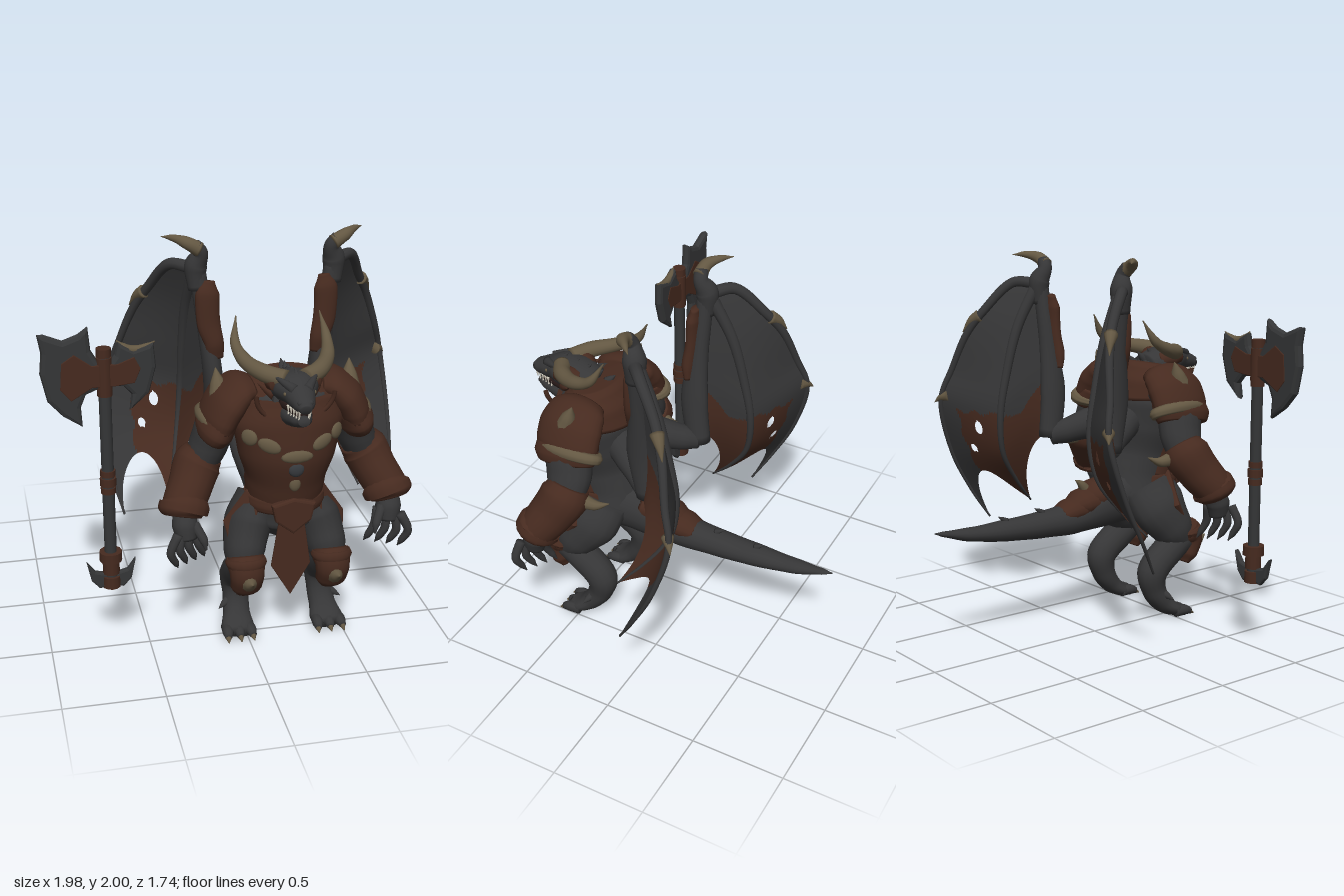
import * as THREE from 'three';

const mat = (name, color, side = THREE.FrontSide) => {
  const m = new THREE.MeshStandardMaterial({ color, side });
  m.name = name;
  return m;
};

// Lofted form along a smooth spine; each point is [x, y, z, radiusA, radiusB]
function loft(pts, ref = [1, 0, 0], seg = 6, sides = 16) {
  const spine = new THREE.CatmullRomCurve3(pts.map(p => new THREE.Vector3(p[0], p[1], p[2])));
  const n = (pts.length - 1) * seg, pos = [], idx = [];
  const side = new THREE.Vector3(...ref), other = new THREE.Vector3();
  for (let i = 0; i <= n; i++) {
    const t = i / n, c = spine.getPoint(t), tan = spine.getTangent(t);
    side.addScaledVector(tan, -side.dot(tan)).normalize();
    other.crossVectors(tan, side);
    const k = Math.min(Math.floor(t * (pts.length - 1)), pts.length - 2);
    let f = t * (pts.length - 1) - k;
    const p = pts[k], q = pts[k + 1];
    if (pts.length > 3) f = f * 0.5 + f * f * (3 - 2 * f) * 0.5;
    const ra = THREE.MathUtils.lerp(p[3], q[3], f);
    const rb = THREE.MathUtils.lerp(p[4] ?? p[3], q[4] ?? q[3], f);
    for (let j = 0; j < sides; j++) {
      const a = j / sides * Math.PI * 2;
      const v = c.clone().addScaledVector(side, Math.cos(a) * ra).addScaledVector(other, Math.sin(a) * rb);
      pos.push(v.x, v.y, v.z);
    }
  }
  const first = (n + 1) * sides;
  for (const e of [pts[0], pts[pts.length - 1]]) pos.push(e[0], e[1], e[2]);
  for (let j = 0; j < sides; j++) {
    const k = (j + 1) % sides;
    for (let i = 0; i < n; i++) {
      const a = i * sides + j, b = i * sides + k;
      idx.push(a, b, a + sides, b, b + sides, a + sides);
    }
    idx.push(first, k, j, first + 1, n * sides + j, n * sides + k);
  }
  return surface(pos, idx);
}

function surface(pos, idx) {
  const g = new THREE.BufferGeometry();
  g.setAttribute('position', new THREE.Float32BufferAttribute(pos, 3));
  g.setIndex(idx);
  g.computeVertexNormals();
  return g;
}

// Curved-in point from a base to a tip
const spike = (a, b, r, bend = 0) => loft([[...a, r],
  [(a[0] + b[0]) / 2, (a[1] + b[1]) / 2 + bend, (a[2] + b[2]) / 2, r * 0.65], [...b, 0.002]], [0.6, 0.3, 0.74], 4, 10);

// Bevelled plate from an outline, centred on its thickness
function plate(outline, depth, bevel = 0.008) {
  const g = new THREE.ExtrudeGeometry(new THREE.Shape(outline.map(p => new THREE.Vector2(...p))),
    { depth, bevelThickness: bevel, bevelSize: bevel, bevelOffset: -bevel, bevelSegments: 2 });
  return g.translate(0, 0, -depth / 2);
}

function mirrored(geo) {
  const g = geo.clone().scale(-1, 1, 1);
  const ix = g.index ? Array.from(g.index.array) : Array.from({ length: g.attributes.position.count }, (_, i) => i);
  for (let i = 0; i < ix.length; i += 3) [ix[i], ix[i + 1]] = [ix[i + 1], ix[i]];
  g.setIndex(ix);
  return g;
}

export function createModel() {
  const skin = mat('charcoal skin', 0x363637, THREE.DoubleSide), leather = mat('brown leather', 0x462a1f, THREE.DoubleSide);
  const bone = mat('horn bone', 0x635742), steel = mat('dark steel', 0x353637);
  const ivory = mat('ivory teeth', 0xd6d0c0), gem = mat('slate gem', 0x373a3e), mouth = mat('dark mouth', 0x2a1c1a);
  const root = new THREE.Group(), body = new THREE.Group(), axe = new THREE.Group();
  root.name = 'winged warrior'; body.name = 'body'; axe.name = 'axe';
  body.position.x = 0.195;
  axe.position.set(-0.685, 0, 0.5);
  root.add(body, axe);
  const add = (name, geo, m, parent = body) => {
    const mesh = new THREE.Mesh(geo, m);
    mesh.name = name;
    parent.add(mesh);
  };
  const pair = (name, geo, m) => { add(name + 'Left', geo, m); add(name + 'Right', mirrored(geo), m); };

  // Torso as [y, z, half width, half depth], breastplate sits forward of it
  const trunk = [[0.56, 0.41, 0.1, 0.12], [0.66, 0.42, 0.2, 0.2], [0.78, 0.44, 0.185, 0.2], [0.9, 0.47, 0.195, 0.2],
    [1.05, 0.49, 0.24, 0.22], [1.2, 0.49, 0.27, 0.21], [1.32, 0.48, 0.23, 0.18], [1.4, 0.48, 0.15, 0.12]];
  const ring = ([y, z, a, b], dz, da, db) => [0, y, z + dz, a + da, b + db];
  add('torso', loft(trunk.map(r => ring(r, 0, 0, 0)), [1, 0, 0], 6, 28), skin);
  add('breastplate', loft(trunk.slice(2, 7).map(r => ring(r, 0.035, 0.008, -0.015)), [1, 0, 0], 6, 28), leather);
  add('collar', loft([[0, 1.22, 0.475, 0.25, 0.22], [0, 1.31, 0.475, 0.245, 0.195], [0, 1.375, 0.48, 0.21, 0.15], [0, 1.405, 0.485, 0.17, 0.11]], [1, 0, 0], 5, 28), leather);
  add('neckline', new THREE.TorusGeometry(0.19, 0.012, 8, 28, Math.PI).rotateZ(Math.PI).scale(1, 0.8, 1).rotateX(0.2).translate(0, 1.37, 0.68), leather);
  add('belt', loft([[0, 0.73, 0.485, 0.2, 0.18], [0, 0.76, 0.485, 0.207, 0.187], [0, 0.8, 0.485, 0.2, 0.18]], [1, 0, 0], 3, 28), leather);

  // Studs lying on the breastplate
  const stud = (x, y, w, h, tilt = 0) => {
    const i = trunk.findIndex(r => r[0] >= y), p = trunk[i - 1], q = trunk[i], f = (y - p[0]) / (q[0] - p[0]);
    const at = k => THREE.MathUtils.lerp(p[k], q[k], f), a = at(2) + 0.008, b = at(3) - 0.015;
    const c = Math.sqrt(1 - (x / a) ** 2);
    return new THREE.SphereGeometry(1, 14, 8).scale(w, h, 0.018).rotateZ(tilt)
      .rotateY(Math.atan2(x / a / a, c / b)).translate(x, y, at(1) + 0.035 + b * c);
  };
  add('chestInlay', stud(0, 1.07, 0.08, 0.032), bone);
  add('chestGem', stud(0, 1.0, 0.04, 0.04), gem);
  add('bellyInlay', stud(0, 0.915, 0.03, 0.042), bone);
  pair('ribInlay', stud(0.13, 1.125, 0.06, 0.036, 0.35), bone);
  pair('shoulderStud', stud(0.215, 1.155, 0.045, 0.042), bone);

  // Waist shield, hanging cloth and hip plates
  add('waistShield', plate([[-0.11, 0.8], [0, 0.83], [0.11, 0.8], [0.09, 0.71], [0, 0.64], [-0.09, 0.71]], 0.02, 0.012).translate(0, 0, 0.675), leather);
  add('loincloth', plate([[-0.06, 0.72], [0.06, 0.72], [0.1, 0.45], [0, 0.28], [-0.1, 0.45]], 0.008, 0.004).translate(0, 0, 0.645), leather);
  const tasset = [[-0.05, 0.15], [0.04, 0.14], [0.1, -0.06], [0.03, -0.14], [-0.09, -0.09]];
  pair('hipPlate', plate(tasset, 0.016, 0.01).rotateZ(0.2).rotateX(-0.35).rotateY(0.75).translate(0.215, 0.68, 0.545), leather);

  // Head, jaw, teeth, horns
  add('neck', loft([[0, 1.28, 0.48, 0.14, 0.12], [0, 1.32, 0.57, 0.12, 0.115], [0, 1.34, 0.66, 0.1, 0.1]]), skin);
  add('skull', loft([[0, 1.37, 0.5, 0.09, 0.07], [0, 1.39, 0.6, 0.12, 0.085], [0, 1.405, 0.68, 0.11, 0.078],
    [0, 1.39, 0.76, 0.072, 0.06], [0, 1.375, 0.83, 0.052, 0.042], [0, 1.362, 0.865, 0.028, 0.024]]), skin);
  add('jaw', loft([[0, 1.275, 0.58, 0.085, 0.075], [0, 1.275, 0.69, 0.078, 0.06], [0, 1.282, 0.78, 0.054, 0.036], [0, 1.295, 0.84, 0.028, 0.022]]), skin);
  add('mouthInside', loft([[0, 1.33, 0.66, 0.08, 0.05], [0, 1.325, 0.74, 0.055, 0.035], [0, 1.325, 0.81, 0.034, 0.025]]), mouth);
  for (let i = 0; i < 5; i++) {
    const z = 0.755 + i * 0.022, x = 0.058 - i * 0.008;
    pair('upperTooth', spike([x, 1.352, z], [x * 0.95, 1.318, z], 0.007), ivory);
    pair('lowerTooth', spike([x * 0.85, 1.3, z - 0.015], [x * 0.9, 1.33, z - 0.015], 0.006), ivory);
  }
  pair('horn', loft([[0.045, 1.445, 0.67, 0.046], [0.13, 1.46, 0.61, 0.043], [0.2, 1.485, 0.5, 0.036],
    [0.228, 1.54, 0.385, 0.025], [0.21, 1.655, 0.31, 0.003]], [0, 1, 0], 8), bone);
  pair('hornBase', loft([[0.05, 1.4, 0.57, 0.05], [0.09, 1.425, 0.63, 0.052], [0.1, 1.42, 0.68, 0.025]], [0, 1, 0]), leather);
  pair('brow', spike([0.03, 1.43, 0.77], [0.11, 1.47, 0.66], 0.026), skin);
  pair('eye', new THREE.SphereGeometry(0.01, 10, 8).translate(0.07, 1.405, 0.75), bone);
  pair('nostril', new THREE.SphereGeometry(0.014, 10, 8).translate(0.025, 1.392, 0.845), skin);
  pair('cheekSpike', spike([0.09, 1.36, 0.63], [0.16, 1.4, 0.57], 0.03), leather);
  pair('jawSpike', spike([0.07, 1.29, 0.64], [0.12, 1.24, 0.58], 0.026), skin);
  for (let i = 0; i < 5; i++) add('crestSpike', spike([0, 1.445 - i * 0.012, 0.71 - i * 0.07], [0, 1.495 - i * 0.012, 0.66 - i * 0.07], 0.024), skin);

  // Tail with armoured base
  add('tail', loft([[0, 0.7, 0.38, 0.17, 0.17], [0, 0.65, 0.2, 0.125, 0.14], [0, 0.595, 0.02, 0.09, 0.09], [0, 0.585, -0.2, 0.076, 0.072],
    [0, 0.59, -0.42, 0.066, 0.058], [0, 0.605, -0.65, 0.046, 0.037], [0, 0.63, -0.8, 0.022, 0.016], [0, 0.643, -0.865, 0.003]]), skin);
  for (let i = 0; i < 3; i++) {
    const z = 0.15 - i * 0.08, y = 0.705 - i * 0.032;
    add('tailPlate', loft([[0, y, z + 0.06, 0.115 - i * 0.012, 0.09 - i * 0.01], [0, y - 0.01, z - 0.02, 0.112 - i * 0.012, 0.085 - i * 0.01], [0, y - 0.025, z - 0.08, 0.07, 0.045]]), leather);
  }
  add('tailSpike', spike([0, 0.72, 0.1], [0, 0.795, 0.02], 0.034, 0.01), bone);
  for (const [z, y] of [[-0.23, 0.65], [-0.46, 0.64]]) add('tailBarb', spike([0, y, z + 0.03], [0, y + 0.03, z - 0.02], 0.017), skin);

  // Arms, shoulder guards, gauntlets and hands
  pair('upperArm', loft([[0.24, 1.28, 0.46, 0.1, 0.12], [0.33, 1.18, 0.46, 0.1, 0.13], [0.375, 1.05, 0.44, 0.095, 0.12], [0.43, 0.92, 0.44, 0.08, 0.09]]), skin);
  pair('shoulderGuard', loft([[0.17, 1.35, 0.46, 0.12, 0.055], [0.23, 1.34, 0.465, 0.16, 0.08], [0.29, 1.285, 0.47, 0.178, 0.092],
    [0.33, 1.215, 0.47, 0.178, 0.088], [0.345, 1.17, 0.47, 0.17, 0.08]], [0, 0, 1], 6, 24), leather);
  pair('shoulderLower', loft([[0.31, 1.23, 0.47, 0.165, 0.085], [0.35, 1.155, 0.465, 0.18, 0.096], [0.365, 1.115, 0.46, 0.155, 0.08]], [0, 0, 1], 5, 24), leather);
  pair('shoulderRim', loft([[0.332, 1.2, 0.44, 0.165, 0.085], [0.345, 1.178, 0.44, 0.178, 0.101], [0.355, 1.155, 0.44, 0.17, 0.085]], [0, 0, 1], 3, 24), bone);
  pair('shoulderSpike', spike([0.325, 1.31, 0.475], [0.335, 1.44, 0.425], 0.055), bone);
  pair('gauntlet', loft([[0.395, 1.0, 0.43, 0.1, 0.11], [0.43, 0.95, 0.44, 0.12, 0.13], [0.475, 0.86, 0.49, 0.11, 0.12], [0.525, 0.77, 0.55, 0.105, 0.105], [0.53, 0.74, 0.565, 0.08, 0.08]]), leather);
  pair('cuff', loft([[0.51, 0.8, 0.53, 0.105], [0.515, 0.78, 0.545, 0.125, 0.12], [0.525, 0.755, 0.555, 0.125, 0.12], [0.53, 0.73, 0.565, 0.095]]), leather);
  pair('elbowSpike', spike([0.41, 0.94, 0.35], [0.39, 0.96, 0.2], 0.04, -0.02), bone);
  pair('palm', loft([[0.52, 0.76, 0.55, 0.055], [0.52, 0.69, 0.58, 0.065, 0.065], [0.515, 0.62, 0.595, 0.05, 0.055]]), skin);
  for (let i = 0; i < 4; i++) {
    const x = 0.475 + i * 0.03, z = 0.55 + i * 0.03, out = (i - 1.5) * 0.02;
    pair('finger', loft([[x, 0.67, z, 0.025], [x + out + 0.01, 0.58, z + 0.015, 0.022], [x + out - 0.015, 0.52, z, 0.018], [x - 0.03 + out, 0.48, z - 0.02, 0.003]], [1, 0, 0], 4, 10), skin);
  }
  pair('thumb', loft([[0.48, 0.7, 0.6, 0.026], [0.44, 0.63, 0.645, 0.022], [0.43, 0.58, 0.66, 0.004]], [1, 0, 0], 4, 10), skin);

  // Legs, knee guards, clawed feet
  pair('thigh', loft([[0.12, 0.74, 0.42, 0.1, 0.16], [0.175, 0.62, 0.46, 0.12, 0.165], [0.21, 0.5, 0.53, 0.105, 0.125], [0.22, 0.4, 0.59, 0.075, 0.075]]), skin);
  pair('shin', loft([[0.22, 0.43, 0.59, 0.08, 0.08], [0.22, 0.37, 0.49, 0.085, 0.088], [0.225, 0.27, 0.38, 0.08, 0.088], [0.225, 0.17, 0.39, 0.068, 0.068],
    [0.23, 0.09, 0.44, 0.07, 0.055], [0.235, 0.045, 0.5, 0.085, 0.042], [0.238, 0.03, 0.56, 0.075, 0.03]]), skin);
  pair('kneeGuard', loft([[0.22, 0.29, 0.6, 0.05, 0.025], [0.22, 0.34, 0.62, 0.08, 0.06], [0.22, 0.42, 0.64, 0.088, 0.075], [0.22, 0.465, 0.615, 0.1, 0.09], [0.22, 0.495, 0.6, 0.09, 0.08]]), leather);
  pair('kneeRim', loft([[0.22, 0.45, 0.61, 0.096, 0.088], [0.22, 0.47, 0.61, 0.105, 0.098], [0.22, 0.49, 0.605, 0.096, 0.088]], [1, 0, 0], 3, 20), leather);
  pair('kneeSpike', spike([0.22, 0.385, 0.68], [0.22, 0.42, 0.77], 0.044), bone);
  for (let i = -1; i <= 1; i++) {
    const x = 0.238 + i * 0.055;
    pair('toe', loft([[x, 0.035, 0.49, 0.03], [x + i * 0.005, 0.036, 0.555, 0.03], [x + i * 0.01, 0.025, 0.59, 0.018]], [1, 0, 0], 4, 10), skin);
    pair('toeClaw', spike([x + i * 0.008, 0.03, 0.57], [x + i * 0.012, 0.008, 0.615], 0.02), bone);
  }
  pair('dewClaw', spike([0.27, 0.15, 0.42], [0.325, 0.12, 0.45], 0.025), skin);

  // Wings: arm, two fingers, and membranes stretched between them
  const arm = [[0.35, 1.83, 0.05], [0.31, 1.55, 0.06], [0.275, 1.25, 0.075], [0.265, 0.99, 0.045]];
  const inner = [[0.36, 1.82, 0.03], [0.385, 1.6, -0.08], [0.395, 1.35, -0.15], [0.4, 1.12, -0.19], [0.425, 0.9, -0.16], [0.47, 0.72, -0.04], [0.52, 0.58, 0.09]];
  const outer = [[0.38, 1.83, 0.03], [0.47, 1.83, -0.05], [0.56, 1.68, -0.18], [0.63, 1.55, -0.25], [0.705, 1.35, -0.305], [0.755, 1.18, -0.35], [0.785, 0.87, -0.27], [0.775, 0.63, -0.15], [0.735, 0.46, -0.05]];
  const taper = (pts, r0, r1) => pts.map((p, i) => [...p, THREE.MathUtils.lerp(r0, r1, i / (pts.length - 1))]);
  const armDepth = [0.042, 0.045, 0.075, 0.065];
  pair('wingArm', loft(taper(arm, 0.042, 0.055).map((p, i) => [...p, armDepth[i]]), [1, 0, 0]), skin);
  pair('wingRoot', loft([[0.06, 1.1, 0.33, 0.09], [0.13, 1.07, 0.22, 0.085], [0.2, 1.03, 0.12, 0.07], [0.265, 1.0, 0.05, 0.055]], [0, 1, 0]), skin);
  pair('wingWrist', loft([[0.35, 1.72, 0.05, 0.045], [0.355, 1.84, 0.045, 0.058], [0.335, 1.91, 0.07, 0.038], [0.365, 1.955, 0.08, 0.034]]), skin);
  pair('wingInnerFinger', loft(taper(inner, 0.034, 0.005), [1, 0, 0], 8, 10), skin);
  pair('wingOuterFinger', loft(taper(outer, 0.032, 0.006), [0, 1, 0], 8, 10), skin);
  pair('wingThumbClaw', loft([[0.34, 1.93, 0.08, 0.038], [0.4, 1.965, 0.075, 0.032], [0.46, 1.982, 0.03, 0.018], [0.515, 1.98, -0.02, 0.002]], [0, 1, 0]), bone);
  pair('wingUpperClaw', spike([0.58, 1.65, -0.2], [0.65, 1.56, -0.265], 0.036, 0.015), bone);
  pair('wingLowerClaw', spike([0.72, 1.2, -0.325], [0.785, 1.16, -0.375], 0.032, 0.01), bone);
  pair('wingGuard', loft([[0.295, 1.77, 0.08, 0.03, 0.02], [0.305, 1.7, 0.09, 0.062, 0.035], [0.3, 1.55, 0.095, 0.06, 0.036], [0.275, 1.45, 0.105, 0.05, 0.036], [0.27, 1.37, 0.1, 0.045, 0.025]]), leather);

  const curve = pts => new THREE.CatmullRomCurve3(pts.map(p => new THREE.Vector3(...p)));
  const holes = [[0.535, 1.035, 0.024, 0.036], [0.605, 0.91, 0.02, 0.022]];
  const within = (x, y, h) => Math.hypot((x - h[0]) / h[2], (y - h[1]) / h[3]);
  function membrane(a, b, scallop, sag) {
    const nu = 40, nv = 100, pos = [], plain = [], worn = [], ca = curve(a), cb = curve(b);
    for (let v = 0; v <= nv; v++) for (let u = 0; u <= nu; u++) {
      const s = u / nu, arch = 4 * s * (1 - s), t = v / nv * (1 - scallop * arch);
      const p = ca.getPointAt(t).lerp(cb.getPointAt(t), s);
      // draw nearby points onto each hole's rim
      for (const h of holes) {
        const d = within(p.x, p.y, h);
        if (d > 0.65 && d < 1.25) { p.x = h[0] + (p.x - h[0]) / d; p.y = h[1] + (p.y - h[1]) / d; }
      }
      pos.push(p.x, p.y, p.z - sag * arch * Math.sin(Math.PI * t));
    }
    for (let v = 0; v < nv; v++) for (let u = 0; u < nu; u++) {
      const i = v * (nu + 1) + u, k = i + nu + 1;
      const [x, y, z] = [0, 1, 2].map(c => (pos[3 * i + c] + pos[3 * k + 3 + c]) / 2);
      if (holes.some(h => within(x, y, h) < 0.98)) continue;
      const brown = x < 0.65 + 0.01 * Math.sin(y * 40) && y < 1.12 + Math.max(0, z + 0.08) * 1.7 + 0.012 * Math.sin(x * 60);
      (brown ? worn : plain).push(i, k, i + 1, i + 1, k, k + 1);
    }
    const g = surface(pos, [...plain, ...worn]);
    g.addGroup(0, plain.length, 0);
    g.addGroup(plain.length, worn.length, 1);
    return g;
  }
  pair('innerMembrane', membrane(arm, inner, 0.16, 0), [skin, leather]);
  pair('outerMembrane', membrane(inner, outer, 0.2, 0.01), [skin, leather]);

  // Axe: shaft, bindings, two blades and a hooked pommel
  const band = (name, y, h, r, m) => add(name, new THREE.CylinderGeometry(r, r, h, 12).translate(0, y, 0), m, axe);
  band('shaft', 0.98, 1.2, 0.03, steel);
  for (const [y, h, r] of [[1.585, 0.04, 0.036], [1.55, 0.03, 0.03], [1.48, 0.16, 0.038], [1.39, 0.04, 0.036], [0.97, 0.03, 0.037], [0.925, 0.04, 0.04], [0.88, 0.03, 0.037], [0.52, 0.05, 0.056], [0.46, 0.07, 0.042], [0.38, 0.06, 0.045]]) band('binding', y, h, r, leather);
  add('largeBlade', plate([[-0.02, 1.53], [-0.06, 1.6], [-0.07, 1.715], [-0.12, 1.68], [-0.19, 1.655], [-0.275, 1.69], [-0.305, 1.69], [-0.29, 1.6], [-0.3, 1.5], [-0.27, 1.36], [-0.2, 1.28], [-0.11, 1.22], [-0.115, 1.32], [-0.09, 1.38], [-0.02, 1.41]], 0.004, 0.022), steel, axe);
  add('smallBlade', plate([[0.02, 1.53], [0.05, 1.57], [0.065, 1.635], [0.14, 1.595], [0.235, 1.62], [0.245, 1.5], [0.21, 1.37], [0.115, 1.29], [0.125, 1.37], [0.09, 1.41], [0.02, 1.42]], 0.004, 0.022), steel, axe);
  add('bladeWrap', plate([[-0.2, 1.55], [-0.14, 1.59], [-0.06, 1.53], [0.06, 1.53], [0.14, 1.56], [0.17, 1.5], [0.14, 1.43], [0.05, 1.42], [-0.06, 1.42], [-0.16, 1.36], [-0.21, 1.42]], 0.046, 0.004), leather, axe);
  add('bladeTopEdge', loft([[0.062, 1.638, 0, 0.003], [0.09, 1.605, 0, 0.02], [0.14, 1.588, 0, 0.02], [0.2, 1.598, 0, 0.016], [0.242, 1.622, 0, 0.003]], [0, 0, 1], 4, 10), bone, axe);
  const hook = plate([[0, 0.36], [0.06, 0.345], [0.1, 0.39], [0.122, 0.495], [0.08, 0.44], [0, 0.42]], 0.014, 0.01);
  add('pommelHookLeft', hook, steel, axe);
  add('pommelHookRight', mirrored(hook), steel, axe);
  return root;
}
